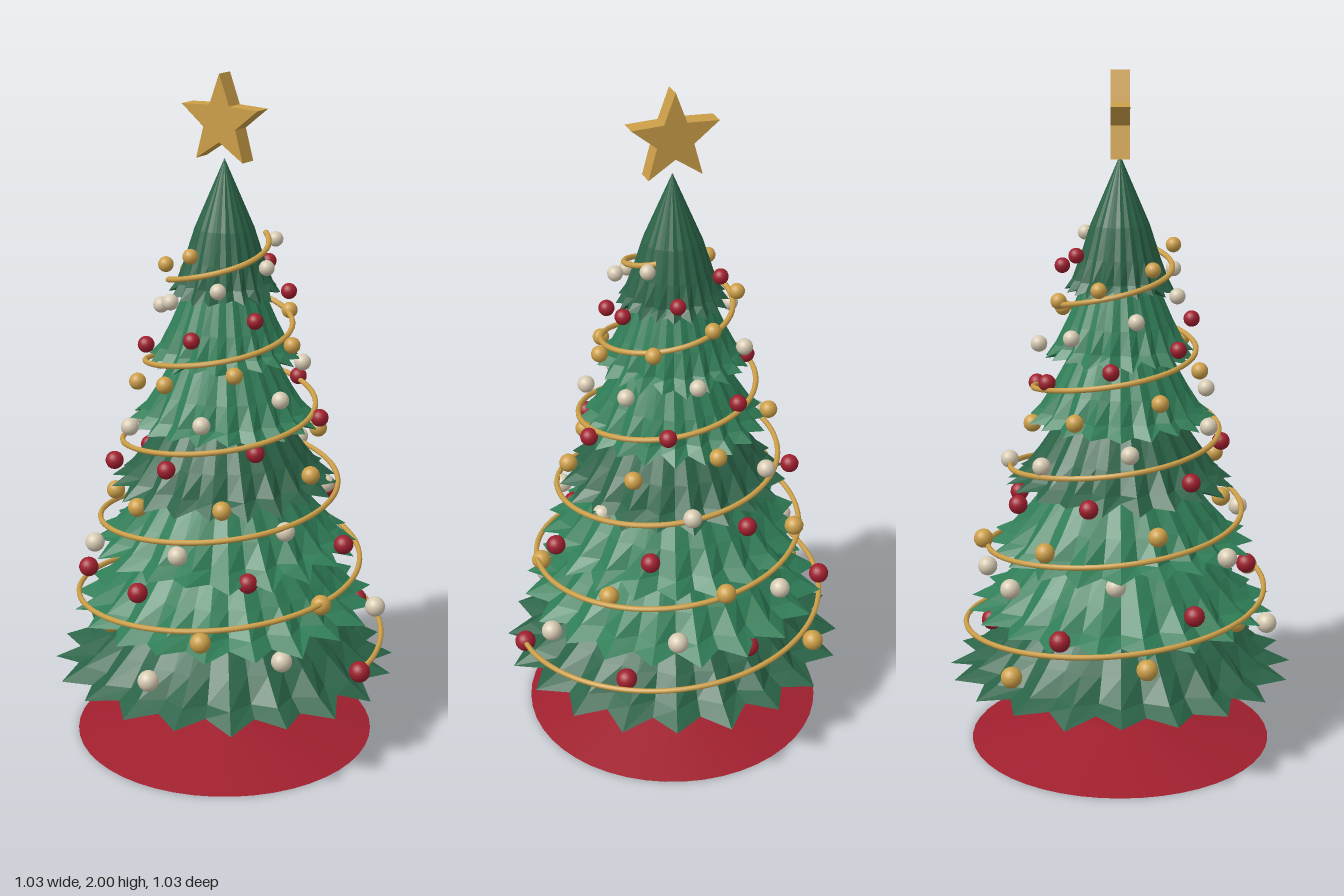
import * as THREE from 'three';

const mat = (name, color, extra = {}) => {
  const m = new THREE.MeshStandardMaterial({ color, ...extra });
  m.name = name;
  return m;
};

// One pleated branch tier: rings of alternating tips and valleys, closed below
function tierGeometry(R, base, twist, rand) {
  const N = 40;
  // [height above the hem, radius factor, pleat depth]
  const rings = [[0, 1, 0.13], [0.035, 0.86, 0.1], [0.1, 0.71, 0.05], [0.19, 0.53, 0.04], [0.385, 0.005, 0]];
  const pos = [], idx = [];
  const wobble = Array.from({ length: N }, () => (rand() - 0.5) * 0.02);
  rings.forEach(([dy, f, pleat], k) => {
    for (let i = 0; i < N; i++) {
      const a = ((i + twist) / N) * Math.PI * 2;
      const valley = i % 2;
      const r = R * f * (1 - pleat * valley);
      const y = base + dy + (k === 0 ? wobble[i] + 0.012 * valley : 0);
      pos.push(r * Math.cos(a), y, r * Math.sin(a));
    }
  });
  for (let k = 0; k < rings.length - 1; k++) {
    for (let i = 0; i < N; i++) {
      const a = k * N + i, b = k * N + (i + 1) % N;
      idx.push(a, a + N, b, b, a + N, b + N);
    }
  }
  const centre = pos.length / 3;
  pos.push(0, base + 0.02, 0);
  for (let i = 0; i < N; i++) idx.push(i, (i + 1) % N, centre);
  let g = new THREE.BufferGeometry();
  g.setAttribute('position', new THREE.Float32BufferAttribute(pos, 3));
  g.setIndex(idx);
  g = g.toNonIndexed();
  g.computeVertexNormals();
  return g;
}

export function createModel() {
  const group = new THREE.Group();
  group.name = 'decoratedTree';
  const darkGreen = mat('darkGreen', 0x2a6347, { flatShading: true });
  const green = mat('green', 0x2f7d57, { flatShading: true });
  const red = mat('red', 0xa01f2e);
  const gold = mat('gold', 0xcc9f48);
  const cream = mat('cream', 0xd6cab2);
  const brown = mat('brown', 0x6b4633);

  const add = (name, geometry, material, parent = group) => {
    const mesh = new THREE.Mesh(geometry, material);
    mesh.name = name;
    parent.add(mesh);
    return mesh;
  };

  let seed = 7;
  const rand = () => (seed = (seed * 16807) % 2147483647) / 2147483647;

  // Base skirt and trunk
  add('skirt', new THREE.CylinderGeometry(0.12, 0.45, 0.07, 48), red).position.y = 0.035;
  add('trunk', new THREE.CylinderGeometry(0.06, 0.066, 0.3, 20), brown).position.y = 0.2;

  // Seven branch tiers
  const tiers = new THREE.Group();
  tiers.name = 'branches';
  group.add(tiers);
  for (let k = 0; k < 7; k++) {
    const g = tierGeometry(0.514 - 0.059 * k, 0.23 + 0.191 * k, k % 2, rand);
    add('branchTier' + (k + 1), g, k % 3 === 0 ? darkGreen : green, tiers);
  }

  // Garland winding up the tree
  const path = [];
  for (let i = 0; i <= 165; i++) {
    const t = (i / 165) * 5.14, a = t * Math.PI * 2;
    const y = 0.31 + 0.24 * t, r = 0.48 - 0.29 * (y - 0.31);
    path.push(new THREE.Vector3(r * Math.cos(a), y, -r * Math.sin(a)));
  }
  add('garland', new THREE.TubeGeometry(new THREE.CatmullRomCurve3(path), 500, 0.008, 8), gold);

  // Ornaments on a golden-angle spiral, following the slope of each tier
  const ornaments = new THREE.Group();
  ornaments.name = 'ornaments';
  group.add(ornaments);
  const ball = new THREE.SphereGeometry(1, 18, 12);
  const ballColours = [red, gold, cream];
  for (let i = 0; i < 72; i++) {
    const y = 0.305 + 0.0172 * i;
    const tier = Math.floor((y - 0.24) / 0.19);
    const r = (0.525 - 0.056 * tier) * (1 - 1.5 * (y - 0.24 - 0.19 * tier));
    const a = i * Math.PI * (3 - Math.sqrt(5));
    const mesh = add('ornament', ball, ballColours[i % 3], ornaments);
    mesh.position.set(r * Math.cos(a), y, -r * Math.sin(a));
    mesh.scale.setScalar(0.031 - 0.009 * (i / 71));
  }

  // Star on top
  const star = new THREE.Shape();
  for (let i = 0; i < 10; i++) {
    const r = i % 2 ? 0.056 : 0.133, a = Math.PI / 2 + (i * Math.PI) / 5;
    star[i ? 'lineTo' : 'moveTo'](r * Math.cos(a), r * Math.sin(a));
  }
  star.closePath();
  const starGeometry = new THREE.ExtrudeGeometry(star, { depth: 0.054, bevelEnabled: false });
  starGeometry.translate(0, 1.867, -0.027);
  add('star', starGeometry, gold);

  return group;
}
